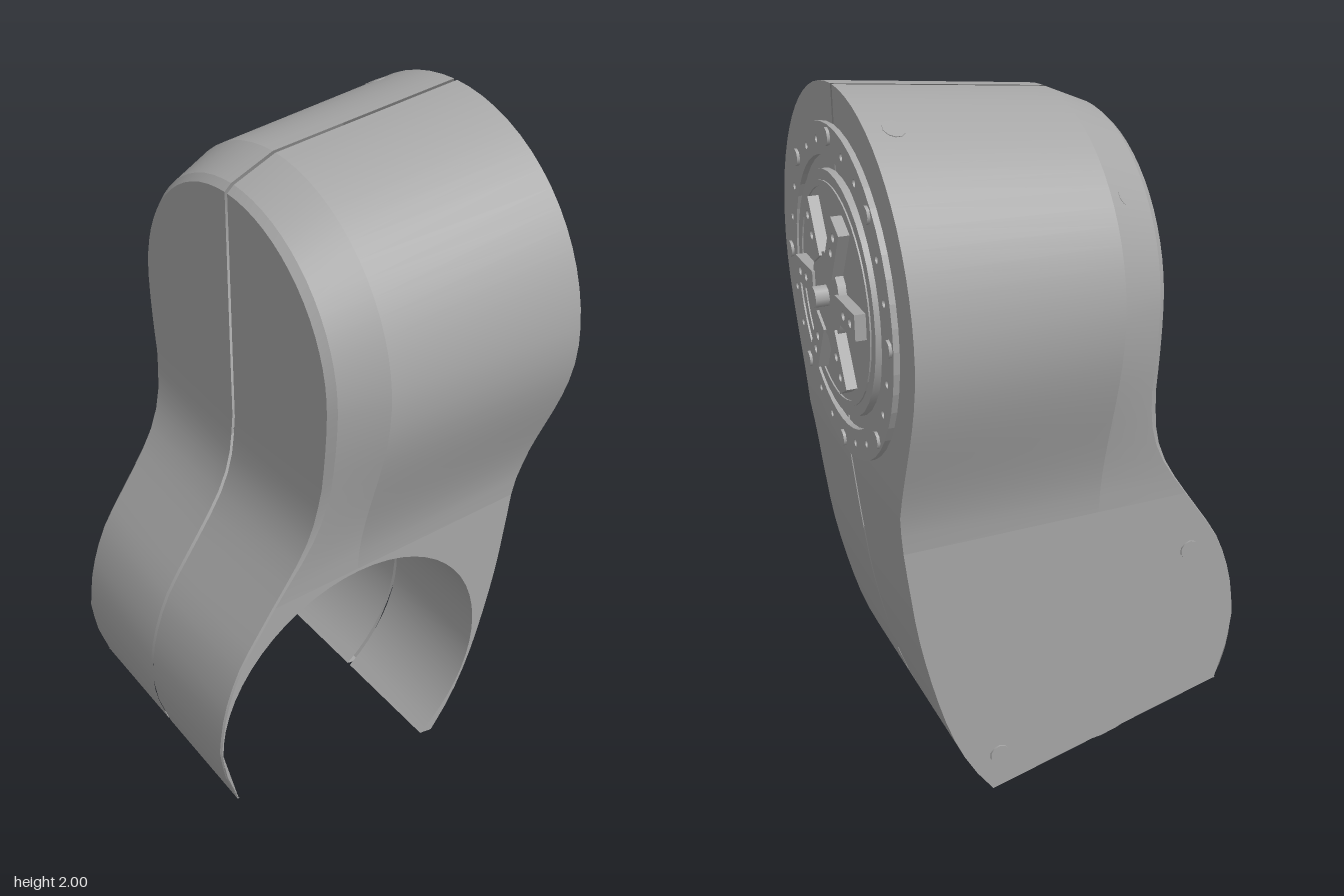
import * as THREE from 'three';

const GAP = 0.006;      // half of the seam between the two shells
const SIDE = 0.38;      // half width of the lower body
const NECK = 0.85;      // height where the flat sides end
const HEAD = 1.45;      // height of the head centre
const BORE = { z: 0.1, y: 0.38, r: 0.46, from: -26, to: 233.3 };

const frontLine = [[0.18, 0.52], [0.3, 0.556], [0.4, 0.568], [0.5, 0.556], [0.6, 0.53], [0.7, 0.485],
  [0.8, 0.415], [0.9, 0.345], [1, 0.285], [1.1, 0.258], [1.2, 0.247], [2, 0.245]];
const backLine = [[0, -0.22], [0.1, -0.29], [0.2, -0.335], [0.3, -0.37], [0.4, -0.397], [0.5, -0.42],
  [0.6, -0.44], [0.8, -0.465], [0.97, -0.483], [2, -0.485]];

function sample(line, y) {
  for (let i = 1; i < line.length; i++) {
    const [y0, z0] = line[i - 1], [y1, z1] = line[i];
    if (y <= y1) return z0 + (z1 - z0) * (y - y0) / (y1 - y0);
  }
  return line[line.length - 1][1];
}

// Smooth surface through rows of points
function grid(rows) {
  const n = rows[0].length, index = [];
  for (let i = 0; i < rows.length - 1; i++) for (let j = 0; j < n - 1; j++) {
    const a = i * n + j, b = a + n;
    index.push(a, b, a + 1, b, b + 1, a + 1);
  }
  const geo = new THREE.BufferGeometry();
  geo.setAttribute('position', new THREE.Float32BufferAttribute(rows.flat(2), 3));
  geo.setIndex(index);
  geo.computeVertexNormals();
  return geo;
}

// Keyhole outline from the bottom cut up to the crown, for x > 0
function keyhole(radius, waist, bottom, depth) {
  const lower = [], upper = [];
  for (let i = 0; i <= 12; i++) {
    const y = bottom + (NECK - bottom) * i / 12;
    lower.push([waist, y, depth(y)]);
  }
  for (let i = 0; i <= 10; i++) {
    const y = NECK + (HEAD - NECK) * i / 10;
    const x = waist + (radius - waist) * THREE.MathUtils.smoothstep(y, NECK - 0.01, HEAD);
    upper.push([x, y, depth(y)]);
  }
  for (let i = 1; i <= 16; i++) {
    const a = Math.PI / 2 * i / 16, y = HEAD + radius * Math.sin(a);
    upper.push([Math.max(GAP, radius * Math.cos(a)), y, depth(y)]);
  }
  return { lower, upper };
}

function arc(r, steps = 40) {
  const pts = [];
  for (let i = 0; i <= steps; i++) {
    const a = THREE.MathUtils.degToRad(BORE.from + (BORE.to - BORE.from) * i / steps);
    pts.push([BORE.z + r * Math.cos(a), BORE.y + r * Math.sin(a)]);
  }
  return pts;
}

function ringShape(outer, inner) {
  const s = new THREE.Shape().absarc(0, 0, outer, 0, Math.PI * 2);
  s.holes.push(new THREE.Path().absarc(0, 0, inner, 0, Math.PI * 2, true));
  return s;
}

export function createModel() {
  const model = new THREE.Group();
  model.name = 'jointLink';
  const grey = new THREE.MeshStandardMaterial({ color: 0xa6a6a6, side: THREE.DoubleSide });
  grey.name = 'grey';
  const add = (geo, name, parent = model) => {
    const mesh = new THREE.Mesh(geo, grey);
    mesh.name = name;
    parent.add(mesh);
    return mesh;
  };
  const extrude = (shape, depth) =>
    new THREE.ExtrudeGeometry(shape, { depth, bevelEnabled: false, curveSegments: 24 });
  const post = (r, h, sides) => new THREE.CylinderGeometry(r, r, h, sides).rotateX(Math.PI / 2);

  // Outlines from back to front
  const front = y => sample(frontLine, y), back = y => sample(backLine, y);
  const A = keyhole(0.55, SIDE, 0, back);
  const B = keyhole(0.497, SIDE, 0.08, () => 0.1);
  const C = keyhole(0.445, SIDE, 0.18, y => front(y) - 0.004 - 0.016 * THREE.MathUtils.smoothstep(y, NECK, 1.2));
  const D = keyhole(0.427, 0.374, 0.18, front);

  for (const s of [1, -1]) {
    const half = new THREE.Group();
    half.name = s > 0 ? 'leftShell' : 'rightShell';
    model.add(half);
    const flip = pts => pts.map(([x, y, z]) => [s * x, y, z]);
    const toSeam = pts => pts.map(([, y, z]) => [s * GAP, y, z]);
    const all = k => k.lower.concat(k.upper.slice(1));

    // Head sides, rounded front edge, front and back faces
    add(grid([flip(A.upper), flip(B.upper)]), 'headSide', half);
    add(grid([flip(B.upper), flip(C.upper)]), 'headChamfer', half);
    add(grid([flip(all(C)), flip(all(D))]), 'frontEdge', half);
    add(grid([flip(all(D)), toSeam(all(D))]), 'frontFace', half);
    add(grid([flip(all(A)), toSeam(all(A))]), 'backFace', half);

    // Flat lower side, with the bore cut out of the left one
    const outline = A.lower.concat([...C.lower].reverse()).map(([, y, z]) => [z, y]);
    if (s > 0) outline.push(...arc(BORE.r));
    const panel = new THREE.ShapeGeometry(new THREE.Shape(outline.map(p => new THREE.Vector2(...p))));
    const pos = panel.attributes.position;
    for (let i = 0; i < pos.count; i++) pos.setXYZ(i, s * SIDE, pos.getY(i), pos.getX(i));
    panel.computeVertexNormals();
    add(panel, 'lowerSide', half);

    // Bore wall and the bottom rims that join it to the shell
    const wall = arc(BORE.r), row = x => wall.map(([z, y]) => [x, y, z]);
    add(grid([row(s * SIDE), row(s * GAP)]), 'boreWall', half);
    for (const [[z0, y0], [z1, y1]] of [[wall[0], [0.52, 0.18]], [wall[40], [-0.22, 0]]]) {
      add(grid([[[s * SIDE, y0, z0], [s * GAP, y0, z0]], [[s * SIDE, y1, z1], [s * GAP, y1, z1]]]), 'bottomRim', half);
    }
  }

  // Inner spine behind the seam
  add(new THREE.BoxGeometry(0.04, 0.98, 0.6), 'innerSpine').position.set(0, 1.37, -0.12);

  // Mounting plate with six spokes, facing local +z
  function spokedPlate(name, radius, plate, top, start) {
    const g = new THREE.Group();
    g.name = name;
    model.add(g);
    add(post(radius, plate, 36), 'plate', g).position.z = plate / 2;
    add(post(0.12, top * 0.85, 12), 'hub', g).position.z = top * 0.425;
    for (let i = 0; i < 6; i++) {
      const spoke = new THREE.Group();
      spoke.name = 'spoke';
      spoke.rotation.z = THREE.MathUtils.degToRad(start + i * 60);
      g.add(spoke);
      const bar = new THREE.Shape([[0.1, -0.035], [0.26, -0.035], [0.26, 0.035], [0.1, 0.035]]
        .map(p => new THREE.Vector2(...p)));
      for (const x of [0.165, 0.22]) bar.holes.push(new THREE.Path().absarc(x, 0, 0.012, 0, Math.PI * 2, true));
      add(extrude(bar, top), 'spokeBar', spoke);
    }
    return g;
  }

  // Plate on the back of the head, with its bolt ring
  const rear = spokedPlate('rearPlate', 0.33, 0.02, 0.05, 0);
  rear.position.set(0, HEAD, -0.485);
  rear.rotation.y = Math.PI;
  const ring = ringShape(0.45, 0.365);
  for (let i = 0; i < 24; i++) {
    if (i % 3 === 0) continue;
    const a = i * Math.PI / 12;
    ring.holes.push(new THREE.Path().absarc(0.405 * Math.cos(a), 0.405 * Math.sin(a), 0.01, 0, Math.PI * 2, true));
  }
  add(extrude(ring, 0.016), 'boltRing', rear);
  add(extrude(ringShape(0.3, 0.285), 0.024), 'plateRidge', rear);
  for (let i = 0; i < 8; i++) {
    const a = i * Math.PI / 4;
    add(post(0.024, 0.024, 8), 'ringBolt', rear).position.set(0.42 * Math.cos(a), 0.42 * Math.sin(a), 0.012);
  }
  add(post(0.03, 0.08, 8), 'centrePin', rear).position.z = 0.04;

  // Plate on the inside of the closed right wall
  const inner = spokedPlate('innerPlate', 0.305, 0.025, 0.05, 40);
  inner.position.set(-SIDE + 0.002, 0.38, 0.08);
  inner.rotation.y = Math.PI / 2;

  // Small screw caps on the right shell
  const caps = [[[-0.245, 1.93, -0.41], [-0.45, 0.88, 0.1]], [[-0.37, 1.735, 0.15], [-0.65, 0.55, 0.5]],
    [[-SIDE, 0.66, 0.4], [-1, 0, 0]], [[-SIDE, 0.12, -0.2], [-1, 0, 0]]];
  for (const [p, n] of caps) {
    const cap = add(post(0.03, 0.01, 10), 'screwCap');
    cap.position.set(...p);
    cap.quaternion.setFromUnitVectors(new THREE.Vector3(0, 0, 1), new THREE.Vector3(...n).normalize());
  }
  return model;
}
